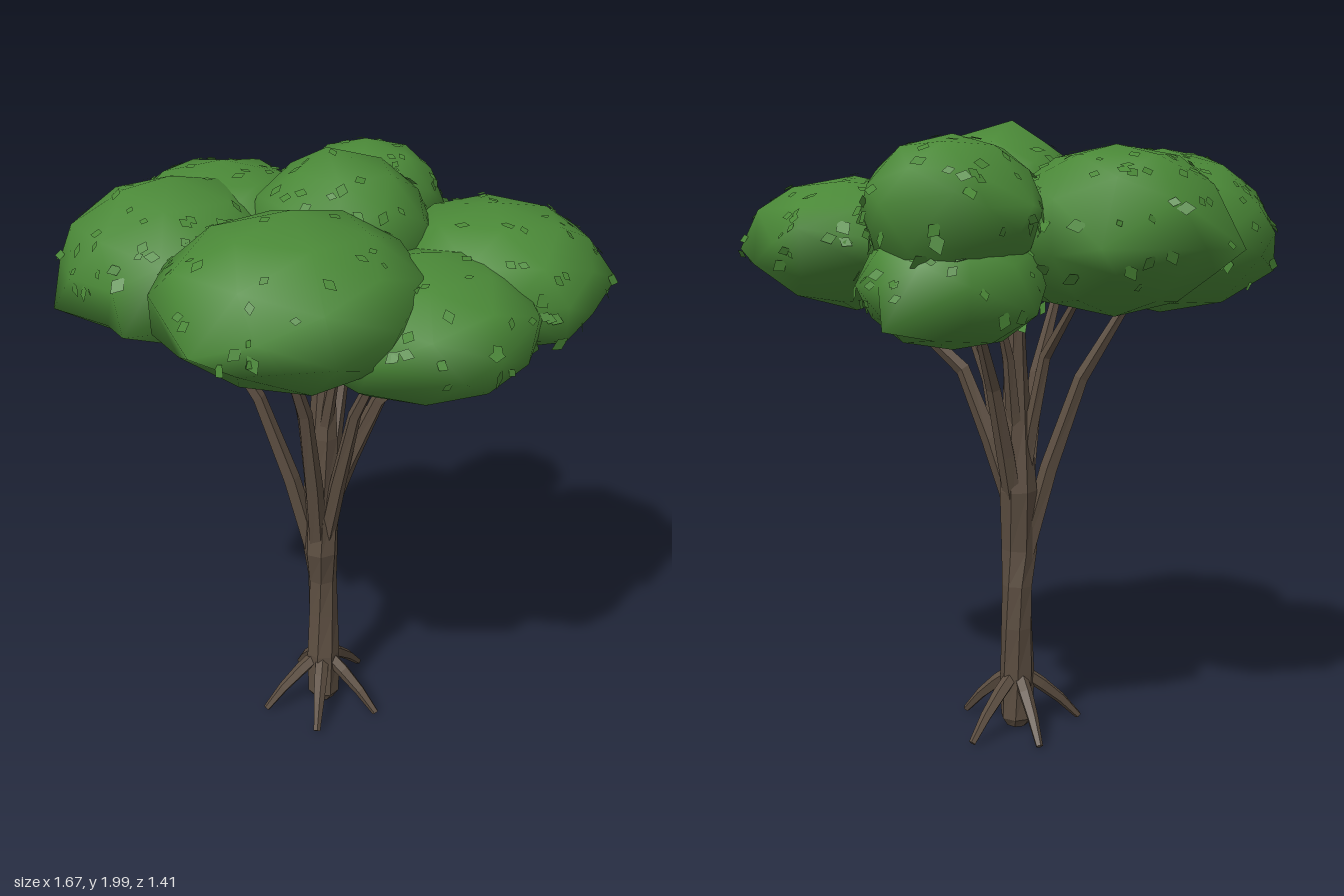
import * as THREE from 'three';
import { mergeVertices } from 'three/addons/utils/BufferGeometryUtils.js';

const V = (x, y, z) => new THREE.Vector3(x, y, z);

// Small seeded random generator
function seeded(seed) {
  let s = seed;
  return () => {
    s = (s * 16807) % 2147483647;
    return s / 2147483647;
  };
}

// Faceted, capped limb: one ring of corners per [x, y, z, radius] station
function limbGeometry(stations, sides, twist = 0) {
  const pts = stations.map(([x, y, z]) => V(x, y, z));
  const last = pts.length - 1;
  const pos = [], idx = [];
  pts.forEach((p, i) => {
    const dir = pts[Math.min(i + 1, last)].clone().sub(pts[Math.max(i - 1, 0)]).normalize();
    const q = new THREE.Quaternion().setFromUnitVectors(V(0, 1, 0), dir);
    for (let k = 0; k < sides; k++) {
      const a = (k / sides) * Math.PI * 2 + i * twist;
      const c = V(Math.sin(a), 0, Math.cos(a)).multiplyScalar(stations[i][3]).applyQuaternion(q).add(p);
      pos.push(c.x, c.y, c.z);
    }
  });
  for (let i = 0; i < last; i++) {
    for (let k = 0; k < sides; k++) {
      const a = i * sides + k, b = i * sides + (k + 1) % sides;
      idx.push(a, b, b + sides, a, b + sides, a + sides);
    }
  }
  const end = last * sides;
  for (let k = 1; k < sides - 1; k++) idx.push(0, k + 1, k, end, end + k, end + k + 1);
  const g = new THREE.BufferGeometry();
  g.setAttribute('position', new THREE.Float32BufferAttribute(pos, 3));
  g.setIndex(idx);
  const flat = g.toNonIndexed();
  flat.computeVertexNormals();
  return flat;
}

// Smooth-shaded foliage mass, with the nearest vertices pulled out to given corners
function clumpGeometry(centre, radii, corners, rnd) {
  let g = new THREE.IcosahedronGeometry(1, 1);
  g.deleteAttribute('normal');
  g.deleteAttribute('uv');
  g = mergeVertices(g, 1e-3);
  g.rotateY(rnd() * Math.PI * 2);
  const p = g.attributes.position, c = V(...centre), r = V(...radii);
  const dirs = [];
  for (let i = 0; i < p.count; i++) {
    const d = V(0, 0, 0).fromBufferAttribute(p, i);
    dirs.push(d);
    const v = d.clone().multiplyScalar(0.98 + rnd() * 0.07).multiply(r).add(c);
    p.setXYZ(i, v.x, v.y, v.z);
  }
  corners.forEach(corner => {
    const want = V(...corner).sub(c).divide(r).normalize();
    const dots = dirs.map(d => d.dot(want));
    p.setXYZ(dots.indexOf(Math.max(...dots)), ...corner);
  });
  g.computeVertexNormals();
  return g;
}

// Diamond leaves: nearly flat on the crown, drooping as a fringe below the rim
function addLeaves(out, geo, count, rnd) {
  const p = geo.attributes.position, ix = geo.index;
  for (let n = 0; n < count; n++) {
    const f = Math.floor(rnd() * ix.count / 3) * 3;
    const [a, b, c] = [0, 1, 2].map(k => V(0, 0, 0).fromBufferAttribute(p, ix.getX(f + k)));
    const u = Math.sqrt(rnd()), w = rnd();
    const normal = b.clone().sub(a).cross(c.clone().sub(a)).normalize();
    if (normal.y < -0.75) continue;
    const at = a.multiplyScalar(1 - u).addScaledVector(b, u * (1 - w)).addScaledVector(c, u * w);
    const side = V(rnd() - 0.5, (rnd() - 0.5) * 0.5, rnd() - 0.5).cross(normal).normalize();
    const along = side.clone().cross(normal).normalize();
    if (along.y > 0) along.negate();
    const rim = normal.y < 0.35;
    along.addScaledVector(normal, rim ? 0.3 + rnd() * 0.5 : rnd() * 0.15).normalize();
    const size = 0.013 + rnd() * (rim ? 0.016 : 0.01);
    at.addScaledVector(normal, 0.005);
    const corner = (s, t) => at.clone().addScaledVector(side, s * size).addScaledVector(along, t * size);
    const [q0, q1, q2, q3] = [corner(0, -0.7), corner(-0.85, 0.4), corner(0, 1.6), corner(0.85, 0.4)];
    for (const q of [q0, q1, q2, q0, q2, q3]) out.push(q.x, q.y, q.z);
  }
}

export function createModel() {
  const tree = new THREE.Group();
  tree.name = 'tree';
  const bark = new THREE.MeshStandardMaterial({ color: 0x5c4e41 });
  bark.name = 'bark brown';
  const green = new THREE.MeshStandardMaterial({ color: 0x4a8837, side: THREE.DoubleSide });
  green.name = 'foliage green';
  const add = (parent, name, geo, mat) => {
    const m = new THREE.Mesh(geo, mat);
    m.name = name;
    parent.add(m);
  };

  // Trunk with slight kinks, carrying on as the central leader
  add(tree, 'trunk', limbGeometry([
    [-0.03, 0.01, -0.015, 0.035], [-0.03, 0.04, -0.015, 0.056], [-0.03, 0.2, -0.02, 0.058],
    [-0.025, 0.36, -0.035, 0.053], [-0.025, 0.5, -0.04, 0.051], [-0.035, 0.62, -0.025, 0.06],
    [-0.025, 0.82, -0.045, 0.062], [-0.02, 1.05, -0.035, 0.05], [-0.015, 1.25, -0.04, 0.038],
    [-0.01, 1.42, -0.045, 0.034], [0, 1.6, -0.04, 0.02],
  ], 7, 0.12), bark);

  // Main branches: start height, elbow x/z, tip x/z, tip height, radius
  const branches = new THREE.Group();
  branches.name = 'branches';
  [
    [0.6, -0.22, -0.1, -0.40, -0.18, 1.52, 0.032],
    [0.6, -0.12, 0.08, -0.23, 0.16, 1.52, 0.034],
    [0.76, 0.13, 0.08, 0.38, 0.2, 1.46, 0.034],
    [0.72, 0.08, -0.15, 0.17, -0.28, 1.42, 0.033],
    [0.62, 0.04, 0.1, 0.13, 0.22, 1.48, 0.03],
    [0.9, 0.02, -0.1, 0.08, -0.16, 1.46, 0.026],
    [0.8, -0.1, -0.1, -0.2, -0.25, 1.52, 0.026],
    [1.0, 0.0, 0.03, -0.08, 0.12, 1.5, 0.024],
  ].forEach(([y, ex, ez, tx, tz, ty, r]) => {
    const ey = y + (ty - y) * 0.64;
    add(branches, 'branch', limbGeometry([
      [-0.03 + ex * 0.1, y, -0.03 + ez * 0.1, r],
      [ex * 0.5 - 0.015, y + (ey - y) * 0.5, ez * 0.5 - 0.015, r * 0.95],
      [ex, ey, ez, r * 0.75],
      [tx, ty, tz, r * 0.4],
    ], 5, 0.1), bark);
  });
  tree.add(branches);

  // Arched roots splaying from the trunk foot, by tip x/z
  const roots = new THREE.Group();
  roots.name = 'roots';
  [[-0.12, 0.18], [0.11, 0.15], [0.155, -0.16], [-0.05, -0.235], [-0.25, 0]].forEach(([x, z]) => {
    const at = (t, y, r) => [-0.03 + (x + 0.03) * t, y, -0.02 + (z + 0.02) * t, r];
    add(roots, 'root', limbGeometry([
      at(0.1, 0.19, 0.024), at(0.38, 0.145, 0.024), at(0.7, 0.085, 0.019), at(1, 0.014, 0.012),
    ], 5), bark);
  });
  tree.add(roots);

  // Foliage clumps: name, centre, radii, leaf count, outline corners
  const canopy = new THREE.Group();
  canopy.name = 'canopy';
  const rnd = seeded(4217);
  const leaves = [];
  [
    ['crownClump', [0.04, 1.73, -0.05], [0.28, 0.24, 0.3], 60, [[-0.01, 2, -0.02]]],
    ['backUpperClump', [0.26, 1.71, -0.42], [0.26, 0.21, 0.24], 90,
      [[0.3, 1.75, -0.66], [0.49, 1.72, -0.56], [0.07, 1.72, -0.6]]],
    ['backLowerClump', [0.25, 1.5, -0.36], [0.27, 0.19, 0.27], 80,
      [[0.49, 1.38, -0.59], [0.52, 1.5, -0.26], [0.05, 1.42, -0.57]]],
    ['leftClump', [0.47, 1.62, 0.14], [0.34, 0.21, 0.38], 110,
      [[0.83, 1.6, 0.28], [0.68, 1.66, -0.2], [0.53, 1.52, 0.53], [0.78, 1.72, 0.08], [0.5, 1.56, -0.25]]],
    ['frontClump', [0.15, 1.56, 0.36], [0.36, 0.21, 0.33], 90,
      [[0.13, 1.52, 0.72], [0.52, 1.5, 0.35], [0.4, 1.48, 0.56]]],
    ['frontRightClump', [-0.22, 1.66, 0.29], [0.39, 0.24, 0.38], 70,
      [[-0.22, 1.6, 0.7], [-0.57, 1.6, 0.5], [-0.62, 1.7, 0.25], [-0.46, 1.57, 0.59], [-0.6, 1.55, 0.16]]],
    ['rightClump', [-0.45, 1.65, -0.19], [0.34, 0.25, 0.34], 150,
      [[-0.83, 1.53, -0.2], [-0.68, 1.54, 0.14], [-0.6, 1.89, -0.15], [-0.65, 1.58, -0.5]]],
    ['backRightClump', [-0.25, 1.66, -0.34], [0.35, 0.25, 0.34], 120,
      [[-0.4, 1.6, -0.69], [-0.1, 1.6, -0.68], [-0.57, 1.6, -0.57]]],
  ].forEach(([name, centre, radii, count, corners]) => {
    const geo = clumpGeometry(centre, radii, corners, rnd);
    add(canopy, name, geo, green);
    addLeaves(leaves, geo, count, rnd);
  });

  // Loose leaves over all the clumps
  const leafGeo = new THREE.BufferGeometry();
  leafGeo.setAttribute('position', new THREE.Float32BufferAttribute(leaves, 3));
  leafGeo.computeVertexNormals();
  add(canopy, 'leaves', leafGeo, green);
  tree.add(canopy);
  return tree;
}
